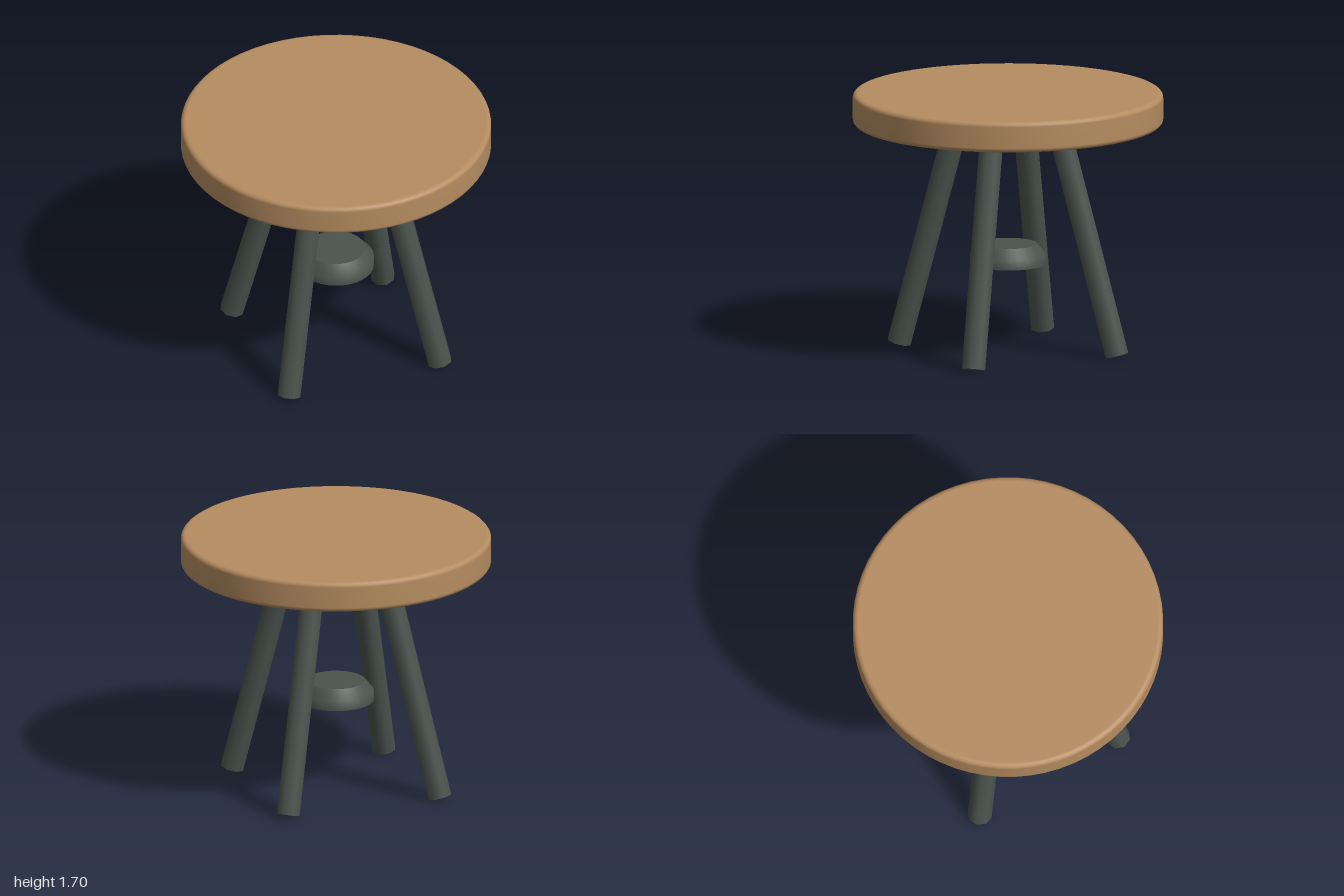
import * as THREE from 'three';

const wood = new THREE.MeshStandardMaterial({ color: 0xb58c60 });
wood.name = 'warm wood';
const metal = new THREE.MeshStandardMaterial({ color: 0x4b534d });
metal.name = 'dark green grey';

// Mesh turned from a profile of [radius, height] pairs, listed bottom to top
function turned(name, profile, segments, material) {
  const points = profile.map(([r, y]) => new THREE.Vector2(r, y));
  const mesh = new THREE.Mesh(new THREE.LatheGeometry(points, segments), material);
  mesh.name = name;
  return mesh;
}

// Round top with softly rounded rims
function makeSeat() {
  const bottom = 1.5, top = 1.7, radius = 1, round = 0.03, steps = 4;
  const profile = [[0, bottom], [radius - round - 0.005, bottom]];
  for (const [y, start] of [[bottom + round, -Math.PI / 2], [top - round, 0]]) {
    for (let i = 0; i <= steps; i++) {
      const a = start + (i / steps) * Math.PI / 2;
      profile.push([radius - round + round * Math.cos(a), y + round * Math.sin(a)]);
    }
  }
  profile.push([radius - round - 0.005, top], [0, top]);
  return turned('seat', profile, 64, wood);
}

// Chamfered disc floating between the legs, with crisp flat ends
function makeHub() {
  const hub = new THREE.Group();
  hub.name = 'hub';
  hub.add(
    turned('hubBase', [[0, 0.58], [0.245, 0.58]], 32, metal),
    turned('hubSide', [[0.245, 0.58], [0.245, 0.645], [0.188, 0.71]], 32, metal),
    turned('hubTop', [[0.188, 0.71], [0, 0.71]], 32, metal)
  );
  return hub;
}

// Splayed eight-sided leg in the corner given by the signs sx and sz
function makeLeg(sx, sz) {
  const foot = new THREE.Vector3(sx * 0.52, 0.021, sz * 0.52);
  const head = new THREE.Vector3(sx * 0.243, 1.488, sz * 0.243);
  const axis = head.clone().sub(foot);
  const leg = new THREE.Mesh(new THREE.CylinderGeometry(0.079, 0.079, axis.length(), 8), metal);
  leg.position.copy(foot).add(head).multiplyScalar(0.5);
  leg.quaternion.setFromUnitVectors(new THREE.Vector3(0, 1, 0), axis.normalize());
  leg.name = (sz > 0 ? 'front' : 'back') + (sx > 0 ? 'Left' : 'Right') + 'Leg';
  return leg;
}

export function createModel() {
  const stool = new THREE.Group();
  stool.name = 'stool';
  stool.add(makeSeat(), makeHub());
  for (const sx of [-1, 1]) for (const sz of [-1, 1]) stool.add(makeLeg(sx, sz));
  return stool;
}
